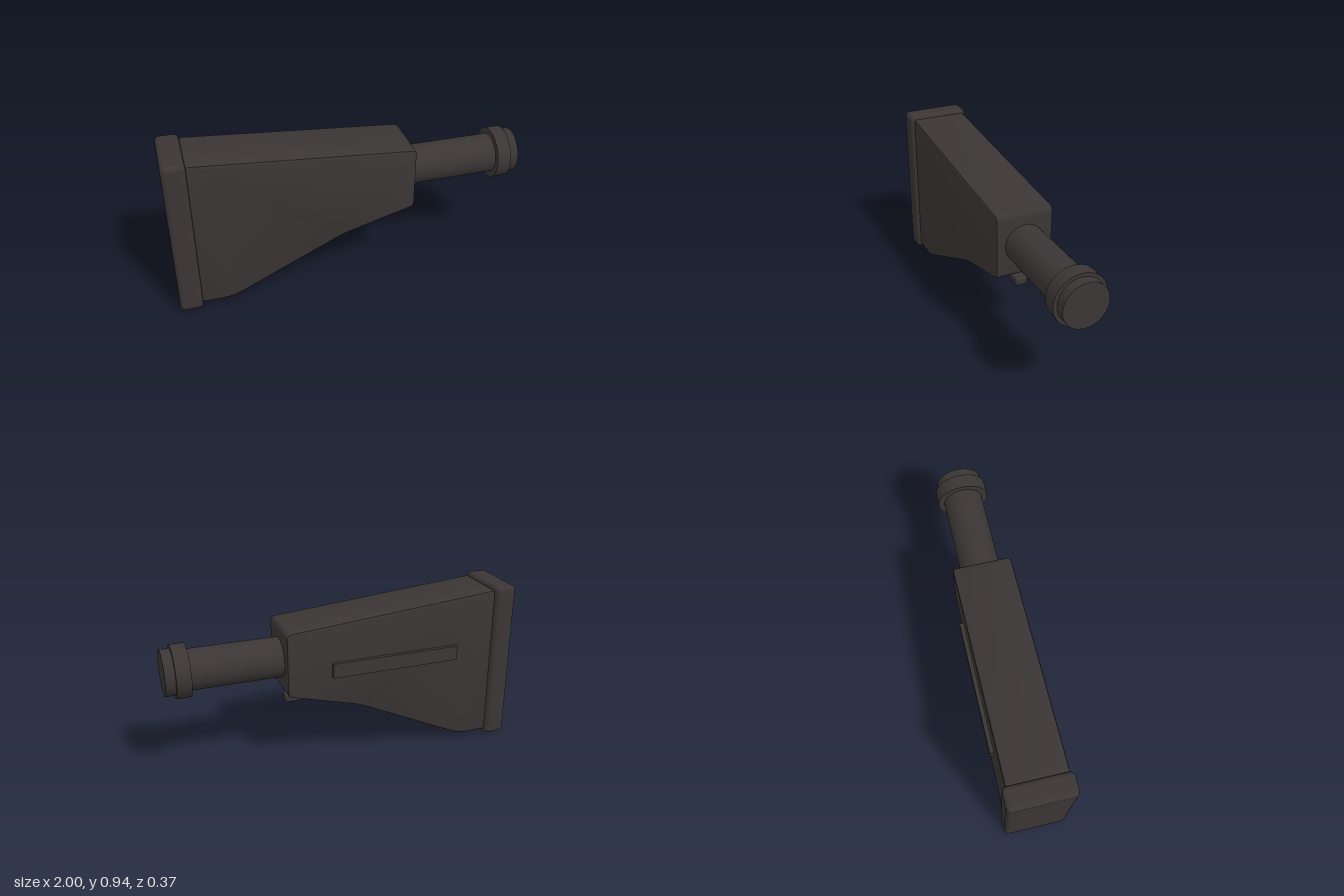
import * as THREE from 'three';
import { toCreasedNormals } from 'three/addons/utils/BufferGeometryUtils.js';
import { RoundedBoxGeometry } from 'three/addons/geometries/RoundedBoxGeometry.js';

// Closed outline with each corner [x, y, radius] rounded off
function roundedOutline(corners) {
  const shape = new THREE.Shape();
  const n = corners.length;
  corners.forEach(([x, y, r], i) => {
    const p = new THREE.Vector2(x, y);
    const toward = ([qx, qy]) => new THREE.Vector2(qx, qy).sub(p).setLength(r).add(p);
    const a = toward(corners[(i + n - 1) % n]);
    const b = toward(corners[(i + 1) % n]);
    if (i === 0) shape.moveTo(a.x, a.y);
    else shape.lineTo(a.x, a.y);
    shape.quadraticCurveTo(x, y, b.x, b.y);
  });
  shape.closePath();
  return shape;
}

export function createModel() {
  const group = new THREE.Group();
  const darkPolymer = new THREE.MeshStandardMaterial({ color: 0x3b3635 });
  darkPolymer.name = 'darkPolymer';

  const add = (name, geometry, x, y, z) => {
    const mesh = new THREE.Mesh(geometry, darkPolymer);
    mesh.name = name;
    mesh.position.set(x, y, z);
    group.add(mesh);
    return mesh;
  };

  // Tapered stock body, extruded across z with a small bevel
  const bevel = 0.014;
  const halfWidth = 0.163;
  const outline = roundedOutline([
    [-0.876, 0.922, 0.02],
    [-0.876, 0.032, 0.02],
    [-0.7, 0.032, 0.06],
    [-0.05, 0.34, 0.06],
    [0.363, 0.452, 0.03],
    [0.363, 0.817, 0.03],
  ]);
  const body = new THREE.ExtrudeGeometry(outline, {
    depth: 2 * (halfWidth - bevel),
    bevelEnabled: true,
    bevelSize: bevel,
    bevelOffset: -bevel,
    bevelThickness: bevel,
    bevelSegments: 2,
    curveSegments: 4,
  });
  add('stockBody', toCreasedNormals(body, 0.6), 0, 0, -halfWidth + bevel);

  // Rounded pad closing the rear end
  add('buttPad', new RoundedBoxGeometry(0.128, 0.936, 0.366, 2, 0.028), -0.936, 0.472, 0);

  // Tube, collar and end cap share one axis along x
  const tubeY = 0.633;
  const addRound = (name, radius, x0, x1) => {
    const geometry = new THREE.CylinderGeometry(radius, radius, x1 - x0, 48);
    geometry.rotateZ(-Math.PI / 2);
    add(name, geometry, (x0 + x1) / 2, tubeY, 0);
  };
  addRound('bufferTube', 0.112, 0.33, 0.9);
  addRound('tubeCollar', 0.146, 0.866, 0.946);
  addRound('tubeEndCap', 0.126, 0.93, 1);

  // Adjustment lever below the front of the body
  add('adjustmentLever', new RoundedBoxGeometry(0.3, 0.044, 0.066, 2, 0.008), 0.19, 0.384, 0);

  // Raised strip on the rear-facing side
  add('sideStrip', new THREE.BoxGeometry(0.75, 0.084, 0.03), -0.265, 0.581, -0.17);

  return group;
}
